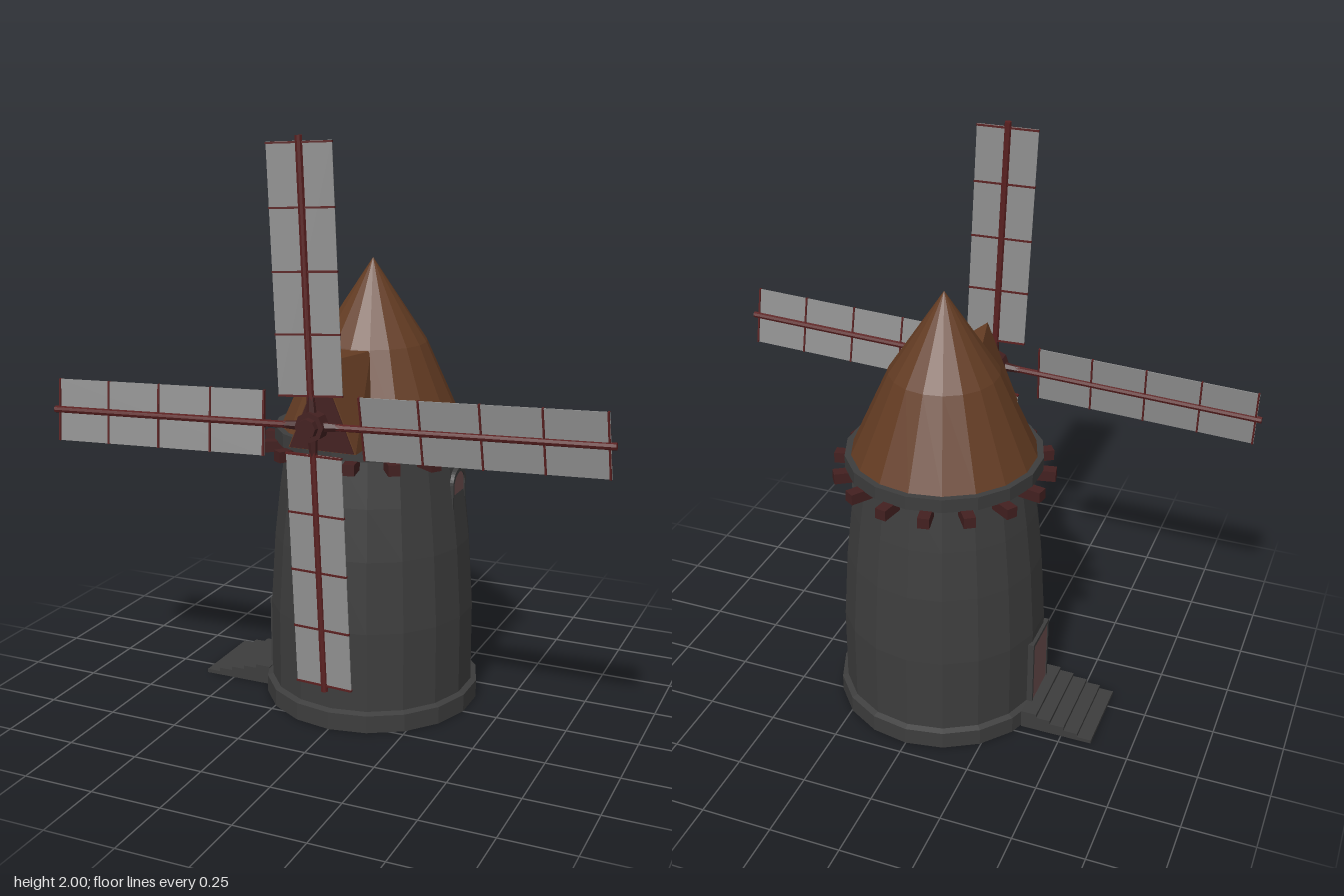
import * as THREE from 'three';
import { ConvexGeometry } from 'three/addons/geometries/ConvexGeometry.js';

const SIDES = 18;     // facets of the round parts
const CZ = -0.068;    // z of the tower axis

function paint(name, color, side = THREE.FrontSide) {
  const m = new THREE.MeshStandardMaterial({ color, flatShading: true, side });
  m.name = name;
  return m;
}

export function createModel() {
  const stone = paint('dark stone', 0x3d3d3d, THREE.DoubleSide);
  const roofing = paint('brown roofing', 0x643c23, THREE.DoubleSide);
  const wood = paint('dark red wood', 0x432020);
  const spar = paint('red spar wood', 0x5a2020);
  const cloth = paint('grey sailcloth', 0x909090, THREE.DoubleSide);
  const panel = paint('dusty brown panel', 0x6e4f4f);

  const model = new THREE.Group();
  model.name = 'windmill';

  const add = (parent, name, geo, mat, x = 0, y = 0, z = 0) => {
    const mesh = new THREE.Mesh(geo, mat);
    mesh.name = name;
    mesh.position.set(x, y, z);
    parent.add(mesh);
    return mesh;
  };
  const box = (w, h, d) => new THREE.BoxGeometry(w, h, d);
  const lathe = (pts) => new THREE.LatheGeometry(pts.map(([r, y]) => new THREE.Vector2(r, y)), SIDES);

  // Tower shell, open underneath
  add(model, 'base', lathe([[0.3825, 0], [0.3825, 0.062], [0.36, 0.07]]), stone, 0, 0, CZ);
  add(model, 'towerWall', lathe([[0.362, 0.06], [0.362, 0.35], [0.346, 0.6], [0.326, 0.78], [0.3, 0.96]]), stone, 0, 0, CZ);
  add(model, 'gallery', lathe([[0.29, 0.947], [0.342, 0.947], [0.342, 0.995], [0.3, 0.995]]), stone, 0, 0, CZ);
  add(model, 'roof', lathe([[0.29, 0.992], [0.32, 0.995], [0.188, 1.29], [0, 1.575]]), roofing, 0, 0, CZ);

  // Beam ends under the gallery
  const beams = new THREE.Group();
  beams.name = 'galleryBeams';
  beams.position.set(0, 0.93, CZ);
  model.add(beams);
  for (let i = 0; i < 16; i++) {
    const a = ((i + 0.5) / 16) * Math.PI * 2;
    const beam = add(beams, 'galleryBeam', box(0.04, 0.038, 0.1), wood, Math.sin(a) * 0.335, 0, Math.cos(a) * 0.335);
    beam.rotation.y = a;
  }

  // Dormer that carries the axle
  const v = (x, y, z) => new THREE.Vector3(x, y, z);
  add(model, 'dormer', new ConvexGeometry([
    v(-0.12, 0.998, 0.35), v(0.12, 0.998, 0.35), v(0, 1.287, 0.35),
    v(-0.12, 0.998, 0.05), v(0.12, 0.998, 0.05), v(-0.065, 1.287, 0.1), v(0.065, 1.287, 0.1),
  ]), roofing);
  const gable = new THREE.Shape([[-0.115, 1.0], [0.115, 1.0], [0, 1.275]].map(([x, y]) => new THREE.Vector2(x, y)));
  add(model, 'dormerFront', new THREE.ExtrudeGeometry(gable, { depth: 0.004, bevelEnabled: false }), wood, 0, 0, 0.35);

  // Arched outline standing on y = 0
  const arch = (Type, w, h, rise) => {
    const s = new Type();
    s.moveTo(-w / 2, 0);
    s.lineTo(w / 2, 0);
    s.lineTo(w / 2, h - rise);
    s.absellipse(0, h - rise, w / 2, rise, 0, Math.PI, false);
    s.lineTo(-w / 2, 0);
    return s;
  };
  const extrude = (s, depth) => new THREE.ExtrudeGeometry(s, { depth, bevelEnabled: false, curveSegments: 8 });

  // Window on the left wall: frame around a recessed shutter
  const win = new THREE.Group();
  win.name = 'window';
  win.position.set(0.285, 0.7, CZ);
  win.rotation.y = Math.PI / 2;
  model.add(win);
  const frame = arch(THREE.Shape, 0.125, 0.17, 0.05);
  frame.holes.push(arch(THREE.Path, 0.105, 0.155, 0.045));
  add(win, 'windowFrame', extrude(frame, 0.04), stone);
  add(win, 'windowShutter', extrude(arch(THREE.Shape, 0.106, 0.156, 0.045), 0.036), panel);

  // Door on the right wall, reached by steps
  add(model, 'door', box(0.04, 0.235, 0.15), panel, -0.347, 0.185, CZ);
  for (const s of [-1, 1]) add(model, 'doorPost', box(0.03, 0.25, 0.012), stone, -0.354, 0.19, CZ + s * 0.08);
  add(model, 'doorLintel', box(0.03, 0.014, 0.172), stone, -0.354, 0.309, CZ);
  for (let i = 0; i < 5; i++) {
    const outer = -0.61 + i * 0.051;
    add(model, 'step', box(-0.35 - outer, 0.0135, 0.29), stone, (outer - 0.35) / 2, 0.0068 + i * 0.0135, -0.073);
  }

  // Sail wheel
  const wheel = new THREE.Group();
  wheel.name = 'sailWheel';
  wheel.position.set(-0.005, 1.095, 0.41);
  wheel.rotation.z = 0.041;
  model.add(wheel);
  add(wheel, 'axle', new THREE.CylinderGeometry(0.03, 0.03, 0.13, 8).rotateX(Math.PI / 2), wood, 0, 0, -0.02);
  add(wheel, 'hub', new THREE.CylinderGeometry(0.05, 0.05, 0.05, 8).rotateX(Math.PI / 2), wood);
  add(wheel, 'hubCap', new THREE.CylinderGeometry(0.032, 0.034, 0.025, 8).rotateX(Math.PI / 2), wood, 0, 0, 0.033);

  for (let i = 0; i < 4; i++) {
    const start = i % 2 ? 0.17 : 0.095;   // the level pair sits further out
    const arm = new THREE.Group();
    arm.name = 'sail';
    arm.rotation.z = (i * Math.PI) / 2;
    wheel.add(arm);
    const length = start + 0.812;
    add(arm, 'spar', new THREE.CylinderGeometry(0.012, 0.012, length, 8), spar, 0, length / 2, 0);
    add(arm, 'sparSocket', new THREE.CylinderGeometry(0.012, 0.02, 0.1, 6), wood, 0, 0.05, 0);
    // Cloth and battens, pitched a little about the spar
    const blade = new THREE.Group();
    blade.name = 'sailBlade';
    blade.rotation.y = 0.14;
    arm.add(blade);
    add(blade, 'sailCloth', box(0.212, 0.795, 0.003), cloth, 0, start + 0.3975, 0);
    for (let k = 0; k < 5; k++) {
      add(blade, 'sailBatten', box(0.214, 0.006, 0.012), spar, 0, start + 0.003 + k * 0.197, 0);
    }
  }
  return model;
}
